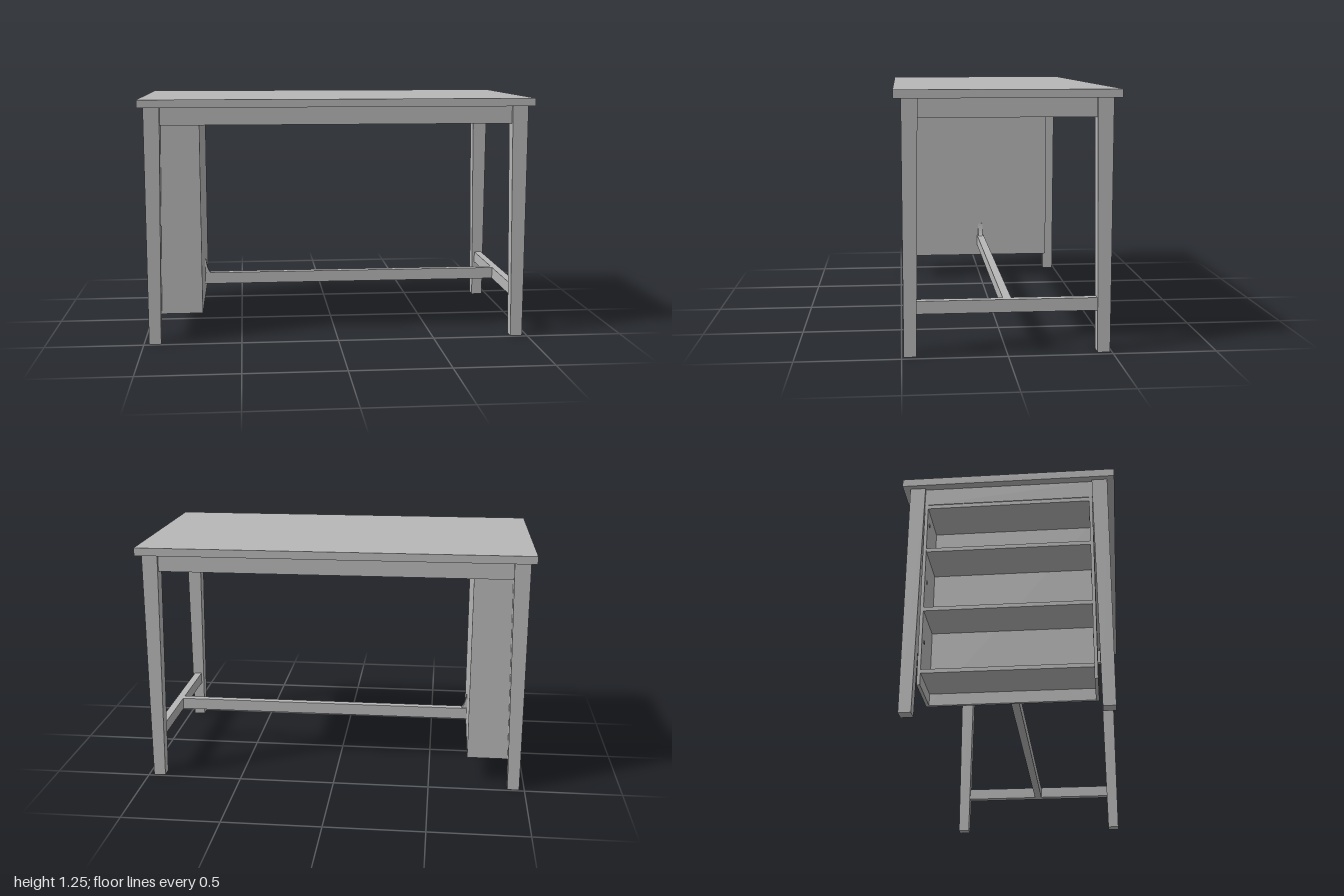
import * as THREE from 'three';

export function createModel() {
  const root = new THREE.Group();
  root.name = 'counterTable';
  const grey = new THREE.MeshStandardMaterial({ color: 0xb8b8b8 });
  grey.name = 'plain grey';

  const add = (name, geometry, parent = root) => {
    const mesh = new THREE.Mesh(geometry, grey);
    mesh.name = name;
    parent.add(mesh);
    return mesh;
  };
  // Box given by its two opposite corners
  const board = (name, [x0, y0, z0], [x1, y1, z1], parent) => {
    const mesh = add(name, new THREE.BoxGeometry(x1 - x0, y1 - y0, z1 - z0), parent);
    mesh.position.set((x0 + x1) / 2, (y0 + y1) / 2, (z0 + z1) / 2);
    return mesh;
  };

  board('tableTop', [-1, 1.21, -0.525], [1, 1.25, 0.525]);

  // Legs: outer faces upright, inner faces tapering towards the floor
  for (const sx of [-1, 1]) for (const sz of [-1, 1]) {
    const g = new THREE.BoxGeometry(2, 1.21, 2);
    const p = g.attributes.position;
    for (let i = 0; i < p.count; i++) {
      const top = p.getY(i) > 0;
      const innerX = p.getX(i) * sx < 0;
      const innerZ = p.getZ(i) * sz < 0;
      p.setX(i, sx * (innerX ? (top ? 0.892 : 0.912) : 0.973));
      p.setZ(i, sz * (innerZ ? (top ? 0.414 : 0.43) : 0.49));
    }
    g.translate(0, 0.605, 0);
    g.computeVertexNormals();
    add('leg', g);
  }

  // Aprons under the top
  for (const s of [-1, 1]) {
    const z = s * 0.458, x = s * 0.943;
    board('longApron', [-0.9, 1.12, z - 0.016], [0.9, 1.21, z + 0.016]);
    board('endApron', [x - 0.016, 1.12, -0.42], [x + 0.016, 1.21, 0.42]);
  }

  // T-shaped foot rail
  board('endStretcher', [0.922, 0.203, -0.43], [0.962, 0.265, 0.43]);
  board('longStretcher', [-0.7, 0.203, -0.02], [0.925, 0.265, 0.02]);

  // Bracket fixing the rail to the cabinet
  const s = new THREE.Shape();
  s.moveTo(-0.7, 0.265);
  s.lineTo(-0.672, 0.265);
  s.quadraticCurveTo(-0.689, 0.285, -0.695, 0.34);
  s.lineTo(-0.7, 0.34);
  s.closePath();
  const bracket = add('bracket', new THREE.ExtrudeGeometry(s, { depth: 0.026, bevelEnabled: false, curveSegments: 6 }));
  bracket.position.z = -0.013;

  // Shelf cabinet, open towards the end of the table
  const cabinet = new THREE.Group();
  cabinet.name = 'shelfCabinet';
  root.add(cabinet);
  board('cabinetBack', [-0.716, 0.14, -0.4], [-0.7, 1.12, 0.4], cabinet);
  for (const side of [-1, 1]) {
    const z = side * 0.406;
    board('cabinetSide', [-0.96, 0.14, z - 0.008], [-0.7, 1.12, z + 0.008], cabinet);
    // Small fixing caps inside
    for (const y of [0.38, 0.705, 1.03]) {
      const cap = add('fixingCap', new THREE.CylinderGeometry(0.01, 0.01, 0.004, 12), cabinet);
      cap.rotation.x = Math.PI / 2;
      cap.position.set(-0.91, y, side * 0.397);
    }
  }
  for (const y of [0.2, 0.525, 0.85, 1.1]) {
    board('shelf', [-0.955, y, -0.4], [-0.715, y + 0.02, 0.4], cabinet);
  }

  return root;
}
